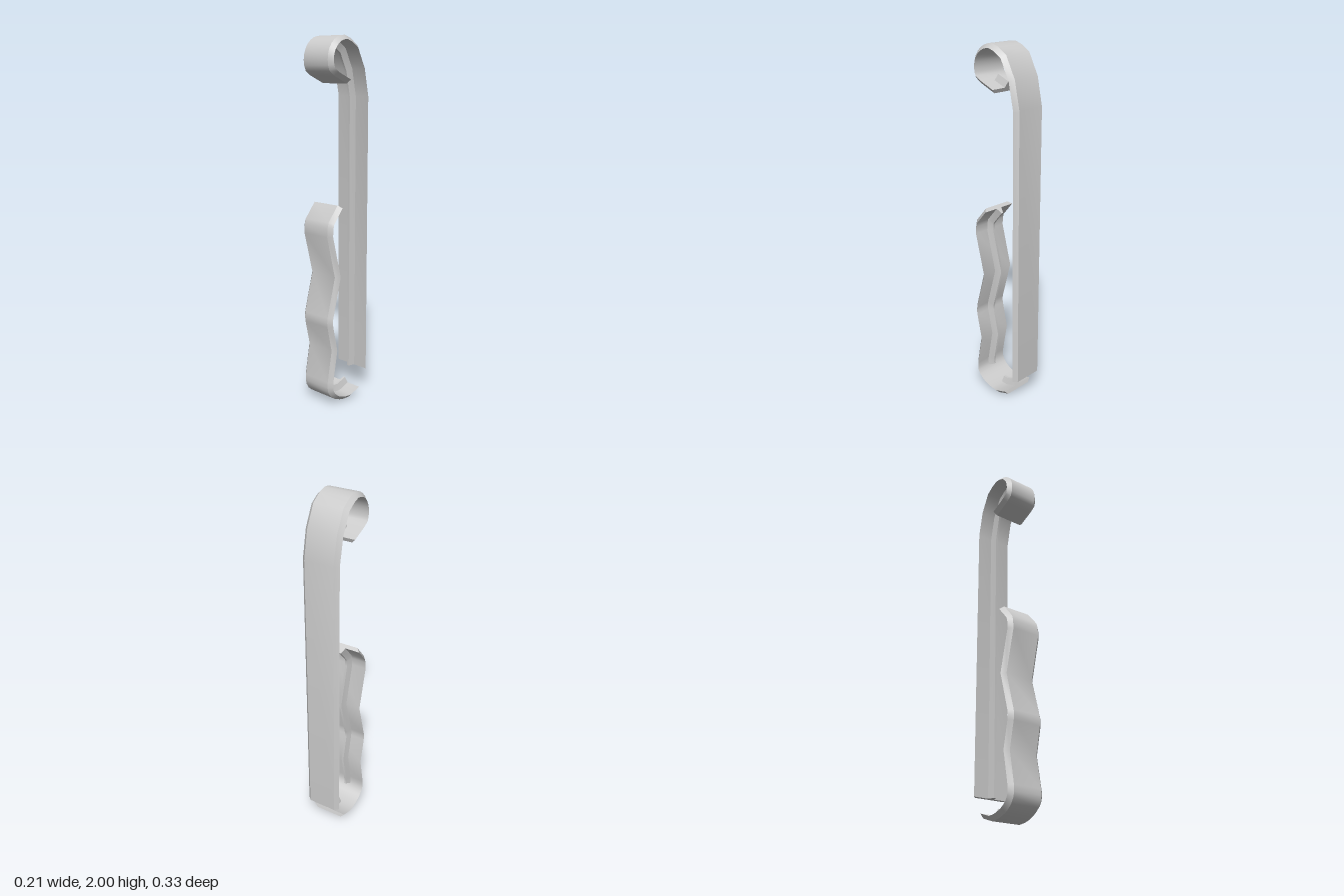
import * as THREE from 'three';
import { toCreasedNormals } from 'three/addons/utils/BufferGeometryUtils.js';

// Cross-sections as [x, depth inward from the outer face]
const STRIP = [[-0.083, 0], [0.083, 0], [0.105, 0.022], [-0.105, 0.022]];
const RIB = [[-0.019, 0.02], [0.019, 0.02], [0.006, 0.057], [-0.006, 0.057]];

// Mitred inward normal at each point of a [z, y] path
function inwardNormals(path) {
  const dir = (a, b) => new THREE.Vector2(b[0] - a[0], b[1] - a[1]).normalize();
  return path.map((p, i) => {
    const before = i > 0 ? dir(path[i - 1], p) : dir(p, path[1]);
    const after = i < path.length - 1 ? dir(p, path[i + 1]) : before;
    const t = before.clone().add(after).normalize();
    const s = 1 / t.dot(before);
    return [t.y * s, -t.x * s];
  });
}

// Sweep a section along part of a path, with closed ends
function sweep(path, section, from, to, name) {
  const normals = inwardNormals(path), pos = [], idx = [], n = section.length;
  for (let i = from; i <= to; i++) {
    for (const [x, d] of section) {
      pos.push(x, path[i][1] + normals[i][1] * d, path[i][0] + normals[i][0] * d);
    }
  }
  const rows = to - from;
  for (let i = 0; i < rows; i++) {
    for (let j = 0; j < n; j++) {
      const a = i * n + j, b = i * n + (j + 1) % n, c = b + n, d = a + n;
      idx.push(a, d, c, a, c, b);
    }
  }
  const e = rows * n;
  idx.push(0, 1, 2, 0, 2, 3, e, e + 2, e + 1, e, e + 3, e + 2);
  const geo = new THREE.BufferGeometry();
  geo.setAttribute('position', new THREE.Float32BufferAttribute(pos, 3));
  geo.setIndex(idx);
  const mesh = new THREE.Mesh(
    toCreasedNormals(geo, 0.7),
    new THREE.MeshStandardMaterial({ color: 0xcccccc, side: THREE.DoubleSide })
  );
  mesh.name = name;
  return mesh;
}

export function createModel() {
  const model = new THREE.Group();
  model.name = 'clip';

  // Back shaft curling forward into the top hook
  const back = [[-0.164, 0.138], [-0.164, 1.69], [-0.132, 1.84], [-0.074, 1.952], [-0.02, 1.986]];
  for (let k = 0; k <= 9; k++) {
    const a = THREE.MathUtils.degToRad(94 - k * 13.5);
    back.push([0.03 + 0.123 * Math.cos(a), 1.877 + 0.123 * Math.sin(a)]);
  }
  back.push([0.105, 1.798], [0.08, 1.787], [0.008, 1.757]);
  const b = back.length - 1;
  const upper = new THREE.Group();
  upper.name = 'upperArm';
  upper.add(
    sweep(back, STRIP, 0, b, 'backStrip'),
    sweep(back, RIB, 0, 5, 'backRib'),
    sweep(back, RIB, b - 1, b, 'hookTipRib')
  );

  // Wavy front arm curling back under at the bottom
  const front = [
    [0.079, 1.127], [0.149, 1.045], [0.157, 1.015], [0.16, 0.968],
    [0.1, 0.735], [0.159, 0.52], [0.162, 0.493], [0.159, 0.466], [0.127, 0.323],
    [0.159, 0.148], [0.16, 0.115], [0.155, 0.088], [0.138, 0.06], [0.117, 0.041],
    [0.095, 0.026], [0.06, 0.012], [0.03, 0.004], [-0.015, 0], [-0.09, 0.024]
  ];
  const f = front.length - 1;
  const lower = new THREE.Group();
  lower.name = 'lowerArm';
  lower.add(
    sweep(front, STRIP, 0, f, 'frontStrip'),
    sweep(front, RIB, 0, 11, 'frontRib'),
    sweep(front, RIB, f - 2, f, 'bottomTipRib')
  );

  model.add(upper, lower);
  return model;
}
